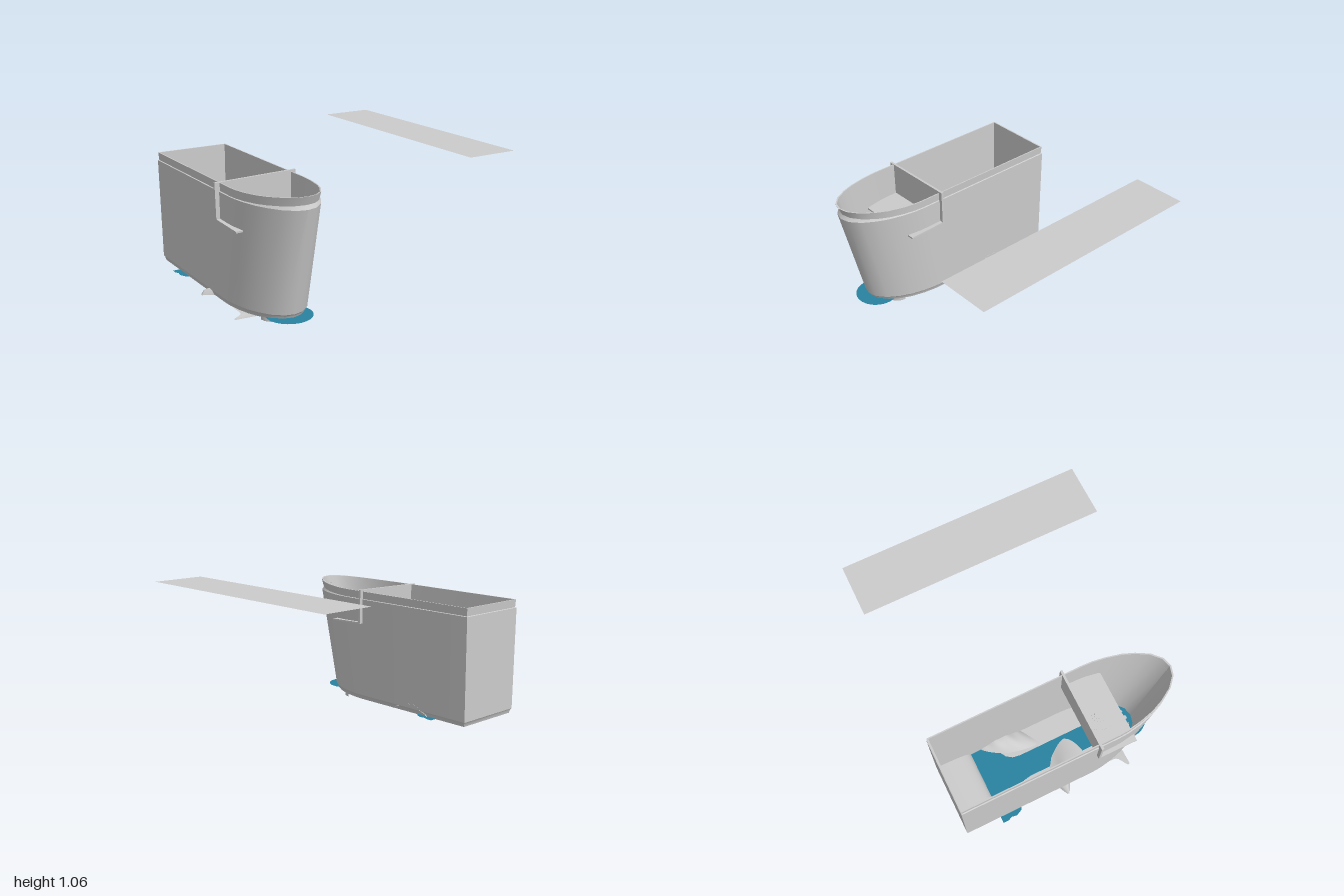
import * as THREE from 'three';
import { toCreasedNormals } from 'three/addons/utils/BufferGeometryUtils.js';

const CX = -0.655; // centre line of the tub
const grey = new THREE.MeshStandardMaterial({ color: 0xcccccc, side: THREE.DoubleSide });
const blue = new THREE.MeshStandardMaterial({ color: 0x2a83a0, side: THREE.DoubleSide });

function add(parent, name, geometry, material = grey, x = 0, y = 0, z = 0) {
  const mesh = new THREE.Mesh(geometry, material);
  mesh.name = name;
  mesh.position.set(x, y, z);
  parent.add(mesh);
  return mesh;
}

// Half of the bow outline: [share of half width, share of bow length]
const BOW = [[1, 0], [0.985, 0.14], [0.93, 0.32], [0.83, 0.52], [0.7, 0.68], [0.5, 0.85], [0.25, 0.965]];

// Closed plan outline of the tub: square stern, rounded bow
function outline({ half, back, shoulder, tip }) {
  const right = BOW.map(([f, s]) => [half * f, shoulder + (tip - shoulder) * s]);
  const left = right.map(([x, z]) => [-x, z]).reverse();
  return [[half, back], ...right, [0, tip], ...left, [-half, back]];
}

// Skin a stack of equal-length rings
function loft(rings) {
  const n = rings[0].length, index = [];
  for (let r = 0; r < rings.length - 1; r++) {
    for (let i = 0; i < n; i++) {
      const a = r * n + i, b = r * n + (i + 1) % n;
      index.push(a, a + n, b, b, a + n, b + n);
    }
  }
  const g = new THREE.BufferGeometry();
  g.setAttribute('position', new THREE.Float32BufferAttribute(rings.flat(2), 3));
  g.setIndex(index);
  return toCreasedNormals(g, 0.5);
}

// Horizontal plate from [x, z] points, facing up
function plate(points) {
  const g = new THREE.ShapeGeometry(new THREE.Shape(points.map(([x, z]) => new THREE.Vector2(x, -z))));
  return g.rotateX(-Math.PI / 2);
}

// Thin wavy leaf: a grid mapped by a rule
function leaf(rule, nu, nv) {
  const g = new THREE.PlaneGeometry(1, 1, nu, nv);
  const p = g.attributes.position;
  for (let i = 0; i < p.count; i++) p.setXYZ(i, ...rule(p.getX(i) + 0.5, 0.5 - p.getY(i)));
  g.computeVertexNormals();
  return g;
}

// Bell curve for local bumps
const bump = (t, centre, width) => Math.exp(-(((t - centre) / width) ** 2));

export function createModel() {
  const model = new THREE.Group();
  model.name = 'tubModel';

  // Tub wall: inset foot band, raked bow, inset rim, inner skin
  const levels = [
    { y: 0.056, half: 0.266, back: -0.889, shoulder: 0.15, tip: 0.642 },
    { y: 0.08, half: 0.272, back: -0.895, shoulder: 0.15, tip: 0.652 },
    { y: 0.092, half: 0.28, back: -0.903, shoulder: 0.15, tip: 0.664 },
    { y: 0.865, half: 0.287, back: -0.905, shoulder: 0.3, tip: 0.842 },
    { y: 0.868, half: 0.279, back: -0.897, shoulder: 0.3, tip: 0.824, rise: 0.028 },
    { y: 0.927, half: 0.283, back: -0.901, shoulder: 0.3, tip: 0.85, rise: 0.028 },
    { y: 0.927, half: 0.274, back: -0.89, shoulder: 0.3, tip: 0.838, rise: 0.028 },
    { y: 0.06, half: 0.264, back: -0.886, shoulder: 0.15, tip: 0.638 },
  ];
  const rings = levels.map((l) => outline(l).map(([x, z]) => {
    const lift = (l.rise || 0) * Math.max(0, (z - 0.3) / 0.55) ** 2;
    return [x, l.y + lift, z];
  }));
  add(model, 'tubWall', loft(rings), grey, CX);
  add(model, 'tubFloor', plate(outline(levels[0])), grey, CX, 0.056);

  // Curved step at the stern
  const step = new THREE.Shape();
  step.moveTo(0.885, 0.06);
  step.lineTo(0.885, 0.14);
  step.quadraticCurveTo(0.64, 0.14, 0.62, 0.06);
  const stepGeo = new THREE.ExtrudeGeometry(step, { depth: 0.53, bevelEnabled: false, curveSegments: 10 });
  stepGeo.translate(0, 0, -0.265).rotateY(Math.PI / 2);
  add(model, 'sternStep', toCreasedNormals(stepGeo, 0.5), grey, CX);

  // Blue T-shaped floor panel whose scalloped ends stick out of the hull
  const half = [[0.325, -0.625], [0.325, -0.58], [0.31, -0.55], [0.318, -0.51], [0.295, -0.46], [0.26, -0.44],
    [0.19, -0.42], [0.13, -0.385], [0.1, -0.34], [0.09, -0.28], [0.09, 0.35]];
  const mirrored = half.map(([x, z]) => [-x, z]).reverse();
  add(model, 'bluePanel', plate([...half, ...mirrored]), blue, CX, 0.06);

  // Blue disc at the bow
  add(model, 'bowDisc', new THREE.CircleGeometry(0.165, 40).rotateX(-Math.PI / 2), blue, CX, 0.062, 0.585);

  // Fan of flat fins above the disc, curved skirt below it
  const fan = new THREE.Group();
  fan.name = 'finFan';
  fan.position.set(CX, 0.066, 0.41);
  for (let i = -4; i <= 4; i++) {
    const fin = add(fan, 'fin', new THREE.BoxGeometry(0.03, 0.006, 0.11).translate(0, 0, 0.135));
    fin.rotation.y = i * 0.34;
  }
  model.add(fan);
  const skirt = new THREE.CylinderGeometry(0.145, 0.145, 0.056, 24, 1, true, -Math.PI / 2, Math.PI);
  add(model, 'bowSkirt', skirt.scale(1, 1, 0.76), grey, CX + 0.01, 0.028, 0.43);

  // Slightly tilted L-shaped bracket: divider, shelf and round fitting
  const bracket = new THREE.Group();
  bracket.name = 'shelfBracket';
  bracket.position.set(CX + 0.014, 0, 0);
  bracket.rotation.z = 0.02;
  add(bracket, 'divider', new THREE.BoxGeometry(0.63, 0.265, 0.018), grey, 0, 0.803, 0.146);
  const shelf = add(bracket, 'shelf', new THREE.BoxGeometry(0.63, 0.012, 0.305), grey, 0, 0.67, 0.292);
  shelf.rotation.x = 0.03;
  [[0.115, 0.003], [0.055, 0.005], [0.033, 0.007]].forEach(([r, h]) =>
    add(shelf, 'shelfFitting', new THREE.CylinderGeometry(r, r, h, 32), grey, -0.03, 0.006 + h / 2, -0.005));
  model.add(bracket);

  // Wavy leaf on the right side, with two points outside the hull
  add(model, 'rightLeaf', leaf((u, v) => {
    const z = -0.12 + 0.57 * v;
    const edge = -0.91 - 0.09 * Math.max(bump(z, -0.08, 0.035), bump(z, 0.44, 0.04));
    const inner = -0.73 + 0.14 * Math.sin(Math.min(1, v * 2.4) * Math.PI / 2);
    const y = 0.05 + 0.06 * Math.sin(Math.PI * Math.sqrt(u)) * bump(z, 0, 0.13) + 0.014 * u * bump(z, 0, 0.13)
      - 0.032 * u * bump(z, 0.38, 0.1);
    return [edge + (inner - edge) * u, y, z];
  }, 14, 36));

  // Domed leaf on the left side, lying against the hull wall
  add(model, 'leftLeaf', leaf((u, v) => {
    const z = -0.55 + 0.35 * v + 0.1 * u * v;
    const x = -0.373 - u * 0.175 * Math.sin(Math.PI / 2 * Math.pow(v, 0.7));
    const y = 0.052 + 0.075 * Math.sin(Math.PI * v) * (1 - u * u) + 0.015 * u * v + 0.006 * Math.sin(22 * v) * (1 - u);
    return [x, y, z];
  }, 12, 24));

  // Separate flat sheet beside the tub
  add(model, 'flatSheet', new THREE.PlaneGeometry(0.4, 1.845).rotateX(-Math.PI / 2), grey, 0.8, 1.058, -0.003);

  return model;
}
